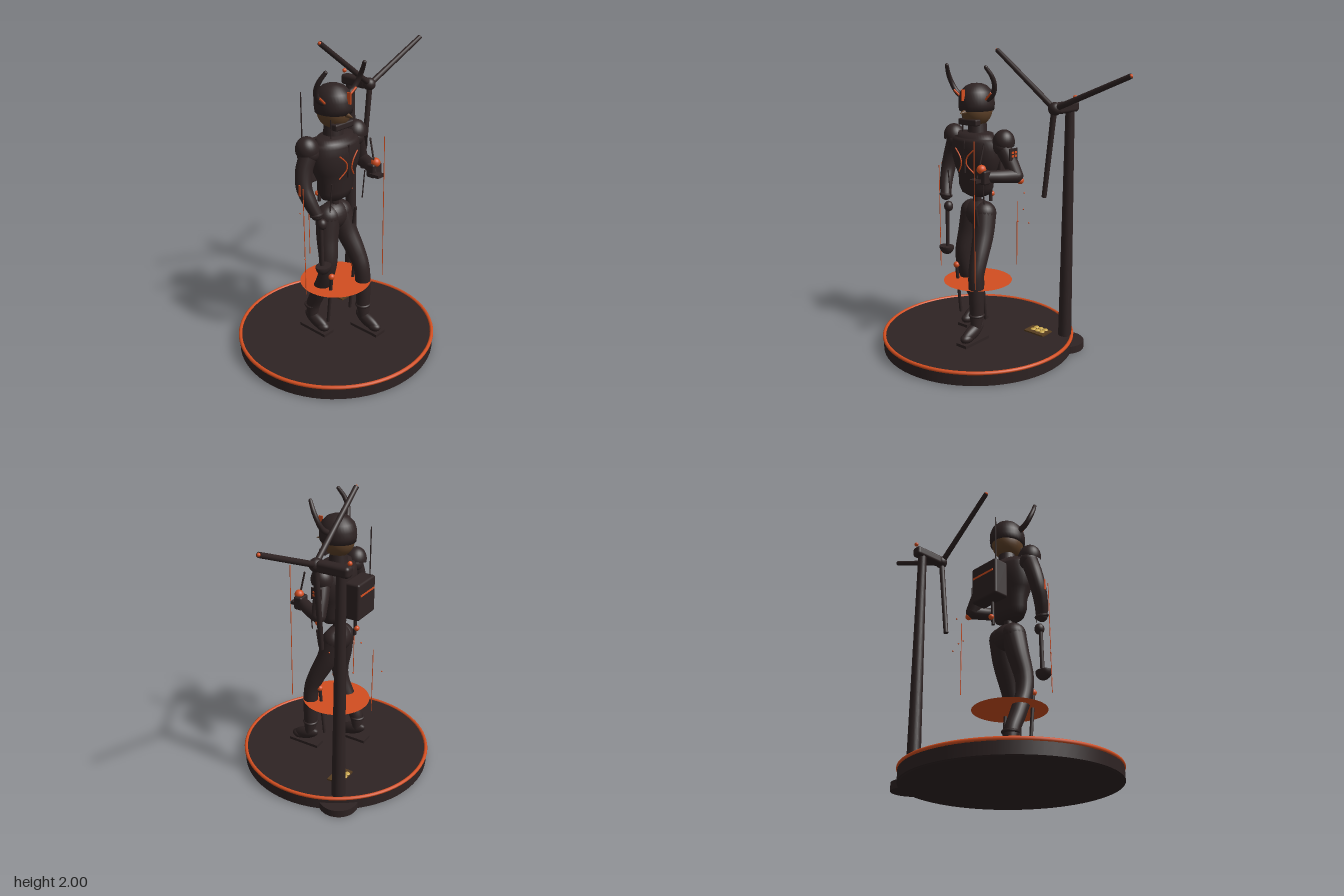
import * as THREE from 'three';
import { RoundedBoxGeometry } from 'three/addons/geometries/RoundedBoxGeometry.js';

const V = (x, y, z) => new THREE.Vector3(x, y, z);
const paint = (name, color, side = THREE.FrontSide) => {
  const m = new THREE.MeshStandardMaterial({ color, side });
  m.name = name;
  return m;
};

export function createModel() {
  const dark = paint('charcoal', 0x2e2323);
  const orange = paint('orange', 0xd24e20, THREE.DoubleSide);
  const skin = paint('skin', 0x5e4128);
  const gold = paint('gold', 0xc8a64c);
  const brown = paint('brown', 0x553c20);

  const model = new THREE.Group();
  const group = (name, x = 0, y = 0, z = 0) => {
    const g = new THREE.Group();
    g.name = name;
    g.position.set(x, y, z);
    model.add(g);
    return g;
  };
  const add = (parent, name, geo, mat, x = 0, y = 0, z = 0) => {
    const m = new THREE.Mesh(geo, mat);
    m.name = name;
    m.position.set(x, y, z);
    parent.add(m);
    return m;
  };
  const box = (w, h, d) => new THREE.BoxGeometry(w, h, d);
  const ball = (r) => new THREE.SphereGeometry(r, 24, 16);
  const cyl = (rt, rb, h, n = 24) => new THREE.CylinderGeometry(rt, rb, h, n);
  // straight rod between two points
  const rod = (parent, name, a, b, r, mat, rEnd = r) => {
    const d = b.clone().sub(a);
    const m = add(parent, name, cyl(rEnd, r, d.length(), 14), mat);
    m.position.copy(a).addScaledVector(d, 0.5);
    m.quaternion.setFromUnitVectors(V(0, 1, 0), d.normalize());
    return m;
  };
  // tapering tube through [x, y, z, radius] stations, with rounded ends
  const limb = (parent, name, pts, mat) => {
    const curve = new THREE.CatmullRomCurve3(pts.map((p) => V(p[0], p[1], p[2])));
    const n = 32, sides = 18;
    const geo = new THREE.TubeGeometry(curve, n, 1, sides);
    const pos = geo.attributes.position, v = V(0, 0, 0);
    for (let i = 0; i <= n; i++) {
      const c = curve.getPointAt(i / n);
      const t = curve.getUtoTmapping(i / n) * (pts.length - 1);
      const k = Math.min(Math.floor(t), pts.length - 2);
      const r = THREE.MathUtils.lerp(pts[k][3], pts[k + 1][3], t - k);
      for (let j = 0; j <= sides; j++) {
        const id = i * (sides + 1) + j;
        v.fromBufferAttribute(pos, id).sub(c).multiplyScalar(r).add(c);
        pos.setXYZ(id, v.x, v.y, v.z);
      }
    }
    geo.computeBoundingSphere();
    add(parent, name, geo, mat);
    for (const p of [pts[0], pts[pts.length - 1]]) add(parent, name + 'End', ball(p[3]), mat, p[0], p[1], p[2]);
  };

  // round base with orange rim
  const base = group('base', -0.19, 0, 0);
  add(base, 'platform', cyl(0.65, 0.65, 0.085, 72), dark, 0, 0.0475);
  add(base, 'platformFoot', cyl(0.645, 0.635, 0.01, 72), dark, 0, 0.005);
  add(base, 'rim', new THREE.TorusGeometry(0.645, 0.012, 10, 80), orange, 0, 0.088).rotation.x = Math.PI / 2;
  add(base, 'floatingDisc', new THREE.CircleGeometry(0.232, 56), orange, 0, 0.46).rotation.x = -Math.PI / 2;

  // crate lid with gold domes
  const tray = group('goldTray', 0.15, 0.095, -0.235);
  add(tray, 'trayPlate', box(0.16, 0.01, 0.105), brown);
  for (let i = 0; i < 6; i++)
    add(tray, 'goldDome', ball(0.019), gold, ((i % 3) - 1) * 0.037, 0.005, i < 3 ? -0.035 : 0.003).scale.y = 0.5;

  // wind turbine
  const turbine = group('turbine', 0.315, 0, 0);
  add(turbine, 'foundation', cyl(0.13, 0.13, 0.05, 40), dark, 0, 0.03, -0.32);
  add(turbine, 'mast', cyl(0.029, 0.045, 1.55), dark, 0, 0.865, -0.32);
  add(turbine, 'nacelle', new RoundedBoxGeometry(0.07, 0.07, 0.215, 4, 0.022), dark, 0, 1.645, -0.275);
  add(turbine, 'hub', ball(0.042), dark, 0, 1.645, -0.155);
  add(turbine, 'beacon', ball(0.014), orange, 0, 1.698, -0.375);
  for (const deg of [23.2, 143.2, 263.2]) {
    const a = (deg * Math.PI) / 180;
    const tip = V(Math.cos(a) * 0.572, 1.645 + Math.sin(a) * 0.572, -0.15);
    rod(turbine, 'blade', V(0, 1.645, -0.15), tip, 0.019, dark, 0.016);
    if (deg < 200) add(turbine, 'bladeTip', ball(0.011), orange, tip.x, tip.y, tip.z);
  }

  // figure: legs
  const fig = group('figure', -0.19, 0, 0);
  limb(fig, 'leftLeg', [[0.052, 0.935, -0.01, 0.08], [0.076, 0.8, 0.03, 0.07], [0.098, 0.65, 0.1, 0.059],
    [0.106, 0.55, 0.135, 0.052], [0.112, 0.4, 0.142, 0.05], [0.113, 0.28, 0.142, 0.047], [0.113, 0.19, 0.15, 0.035]], dark);
  limb(fig, 'rightLeg', [[-0.052, 0.935, -0.01, 0.08], [-0.076, 0.8, 0.005, 0.07], [-0.098, 0.65, 0.03, 0.059],
    [-0.106, 0.55, 0.018, 0.052], [-0.112, 0.4, -0.045, 0.05], [-0.113, 0.28, -0.1, 0.047], [-0.113, 0.19, -0.11, 0.035]], dark);
  add(fig, 'hips', ball(1), dark, 0, 0.93, -0.01).scale.set(0.115, 0.093, 0.085);
  for (const [x, z] of [[0.113, 0.185], [-0.113, -0.07]]) {
    const boot = add(fig, 'boot', ball(1), dark, x, 0.165, z);
    boot.scale.set(0.038, 0.045, 0.108);
    boot.rotation.x = 0.35;
    add(fig, 'toeCap', ball(1), dark, x, 0.14, z + 0.055).scale.set(0.037, 0.032, 0.05);
    add(fig, 'sole', box(0.085, 0.02, 0.23), dark, x, 0.104, z - 0.005);
    const cuff = add(fig, 'ankleRing', new THREE.TorusGeometry(0.044, 0.01, 8, 28), dark, x, 0.275, z - (x > 0 ? 0.043 : 0.04));
    cuff.rotation.x = Math.PI / 2;
  }
  // knee joints with piston rods
  for (const [x, z] of [[-0.122, 0.08], [0.1, 0.072]]) {
    add(fig, 'kneeJoint', ball(0.021), orange, x, 0.56, z);
    rod(fig, 'piston', V(x, 0.55, z), V(x, 0.21, z - 0.037), 0.011, dark);
  }
  rod(fig, 'thighBlade', V(0.08, 0.99, 0.105), V(0.08, 0.87, 0.085), 0.01, dark);

  // torso
  const profile = [[0, 1.045], [0.06, 1.05], [0.11, 1.073], [0.132, 1.12], [0.136, 1.19], [0.163, 1.25], [0.182, 1.31],
    [0.184, 1.37], [0.178, 1.42], [0.165, 1.438], [0.138, 1.442], [0.132, 1.472], [0, 1.476]];
  const torso = add(fig, 'torso', new THREE.LatheGeometry(profile.map((p) => new THREE.Vector2(...p)), 40), dark, 0, 0, 0.01);
  torso.scale.z = 0.64;
  add(fig, 'spine', cyl(0.028, 0.028, 0.09), dark, 0, 1.03, 0);
  add(fig, 'neck', cyl(0.055, 0.065, 0.08), dark, 0, 1.5, -0.005);
  rod(fig, 'chestSeam', V(0, 1.22, 0.118), V(0, 1.43, 0.122), 0.008, dark);
  for (const s of [-1, 1]) {
    rod(fig, 'strap', V(s * 0.148, 1.03, 0.1), V(s * 0.148, 1.22, 0.12), 0.004, dark);
    const mark = new THREE.CatmullRomCurve3([V(s * 0.078, 1.375, 0.121), V(s * 0.03, 1.325, 0.129),
      V(s * 0.022, 1.28, 0.126), V(s * 0.065, 1.22, 0.102)]);
    add(fig, 'chestMark', new THREE.TubeGeometry(mark, 20, 0.0045, 6), orange);
  }

  // backpack
  add(fig, 'backpack', new RoundedBoxGeometry(0.22, 0.25, 0.11, 3, 0.015), dark, 0, 1.265, -0.165);
  add(fig, 'packStripe', box(0.18, 0.012, 0.006), orange, 0, 1.31, -0.221);
  rod(fig, 'antenna', V(-0.085, 1.2, -0.19), V(-0.085, 1.71, -0.19), 0.004, dark);
  rod(fig, 'packHose', V(0, 1.16, -0.14), V(0, 0.985, -0.135), 0.011, dark);
  add(fig, 'hoseLamp', ball(0.018), orange, 0, 1.035, -0.15);

  // head, helmet and horns
  add(fig, 'face', ball(1), skin, 0, 1.618, 0).scale.set(0.096, 0.108, 0.11);
  const nose = add(fig, 'nose', new THREE.ConeGeometry(0.024, 0.08, 12), skin, 0, 1.61, 0.122);
  nose.rotation.x = Math.PI / 2 + 0.15;
  const dome = [[0.095, 1.616], [0.118, 1.614], [0.123, 1.65], [0.121, 1.69], [0.106, 1.735], [0.073, 1.768], [0.035, 1.783], [0, 1.786]];
  add(fig, 'helmet', new THREE.LatheGeometry(dome.map((p) => new THREE.Vector2(...p)), 36), dark).scale.x = 0.92;
  add(fig, 'crest', box(0.007, 0.07, 0.028), orange, 0, 1.717, 0.127);
  add(fig, 'chinGuard', new RoundedBoxGeometry(0.155, 0.042, 0.05, 2, 0.01), dark, 0, 1.543, 0.07);
  rod(fig, 'chinStrap', V(-0.077, 1.47, 0.05), V(-0.077, 1.62, 0.05), 0.004, dark);
  for (const s of [-1, 1]) {
    limb(fig, 'horn', [[s * 0.095, 1.685, 0.01, 0.019], [s * 0.15, 1.72, 0.02, 0.018], [s * 0.181, 1.775, 0.035, 0.016],
      [s * 0.185, 1.835, 0.062, 0.015], [s * 0.165, 1.895, 0.098, 0.012]], dark);
    rod(fig, 'hornStripe', V(s * 0.105, 1.69, 0.03), V(s * 0.158, 1.735, 0.04), 0.007, orange);
  }

  // arms
  const pauldron = new THREE.SphereGeometry(0.068, 28, 12, 0, Math.PI * 2, 0, Math.PI * 0.55);
  for (const s of [-1, 1]) {
    const p = add(fig, 'shoulderPad', pauldron, dark, s * 0.213, 1.425, -0.015);
    p.scale.set(1.05, 1.2, 1.05);
    p.rotation.z = -s * 0.2;
    add(fig, 'shoulder', ball(0.06), dark, s * 0.2, 1.4, -0.01);
  }
  limb(fig, 'rightArm', [[-0.205, 1.4, -0.01, 0.054], [-0.245, 1.3, -0.015, 0.052], [-0.262, 1.2, 0, 0.049],
    [-0.25, 1.11, 0.035, 0.043], [-0.226, 1.03, 0.065, 0.036]], dark);
  limb(fig, 'leftUpperArm', [[0.205, 1.4, -0.01, 0.054], [0.255, 1.3, -0.03, 0.05], [0.295, 1.215, -0.04, 0.047]], dark);
  limb(fig, 'leftForearm', [[0.295, 1.215, -0.04, 0.047], [0.25, 1.22, 0.06, 0.042], [0.195, 1.225, 0.14, 0.036]], dark);
  add(fig, 'rightCuff', new THREE.TorusGeometry(0.035, 0.01, 8, 24), dark, -0.225, 1.03, 0.065).rotation.x = 1.3;
  add(fig, 'leftElbowJoint', ball(0.023), orange, 0.318, 1.185, -0.055);
  add(fig, 'rightElbowStripe', box(0.006, 0.07, 0.012), orange, -0.309, 1.2, 0.01);
  add(fig, 'armPatch', box(0.008, 0.075, 0.075), dark, 0.289, 1.355, -0.02);
  for (let i = 0; i < 4; i++)
    add(fig, 'patchMark', box(0.004, 0.014, 0.02), orange, 0.295, i < 2 ? 1.367 : 1.345, i % 2 ? -0.035 : -0.008);

  // right hand with long ladle
  add(fig, 'rightHand', ball(1), dark, -0.193, 0.958, 0.075).scale.set(0.031, 0.036, 0.031);
  rod(fig, 'ladleHandle', V(-0.203, 0.97, 0.075), V(-0.203, 0.66, 0.08), 0.013, dark);
  const bowl = new THREE.SphereGeometry(0.055, 24, 10, 0, Math.PI * 2, Math.PI / 2, Math.PI / 2);
  add(fig, 'ladleBowl', bowl, dark, -0.203, 0.677, 0.09).scale.z = 0.8;
  add(fig, 'ladleTop', cyl(0.055, 0.055, 0.006), dark, -0.203, 0.677, 0.09).scale.z = 0.8;

  // left hand with lit device
  add(fig, 'leftHand', ball(0.035), dark, 0.19, 1.225, 0.15);
  add(fig, 'device', new RoundedBoxGeometry(0.085, 0.09, 0.06, 2, 0.012), dark, 0.19, 1.225, 0.16);
  add(fig, 'deviceLamp', ball(0.03), orange, 0.19, 1.275, 0.172);
  add(fig, 'deviceTray', box(0.06, 0.02, 0.07), dark, 0.17, 1.205, 0.2);
  rod(fig, 'deviceAerial', V(0.17, 1.22, 0.19), V(0.18, 1.43, 0.135), 0.006, dark);

  // thin light beams and drifting sparks
  const effects = group('effects');
  for (const [x, z, top] of [[0, 0.24, 1.46], [-0.5, 0.04, 1.22], [-0.107, -0.32, 0.96]])
    rod(effects, 'lightBeam', V(x, 0.5, z), V(x, top, z), 0.0025, orange);
  for (const [x, y, z] of [[-0.015, 1.04, -0.28], [0.105, 0.98, -0.12], [0.042, 0.845, -0.26], [-0.14, 0.8, -0.37], [-0.5, 0.75, 0.04]])
    add(effects, 'spark', ball(0.005), orange, x, y, z);
  return model;
}
